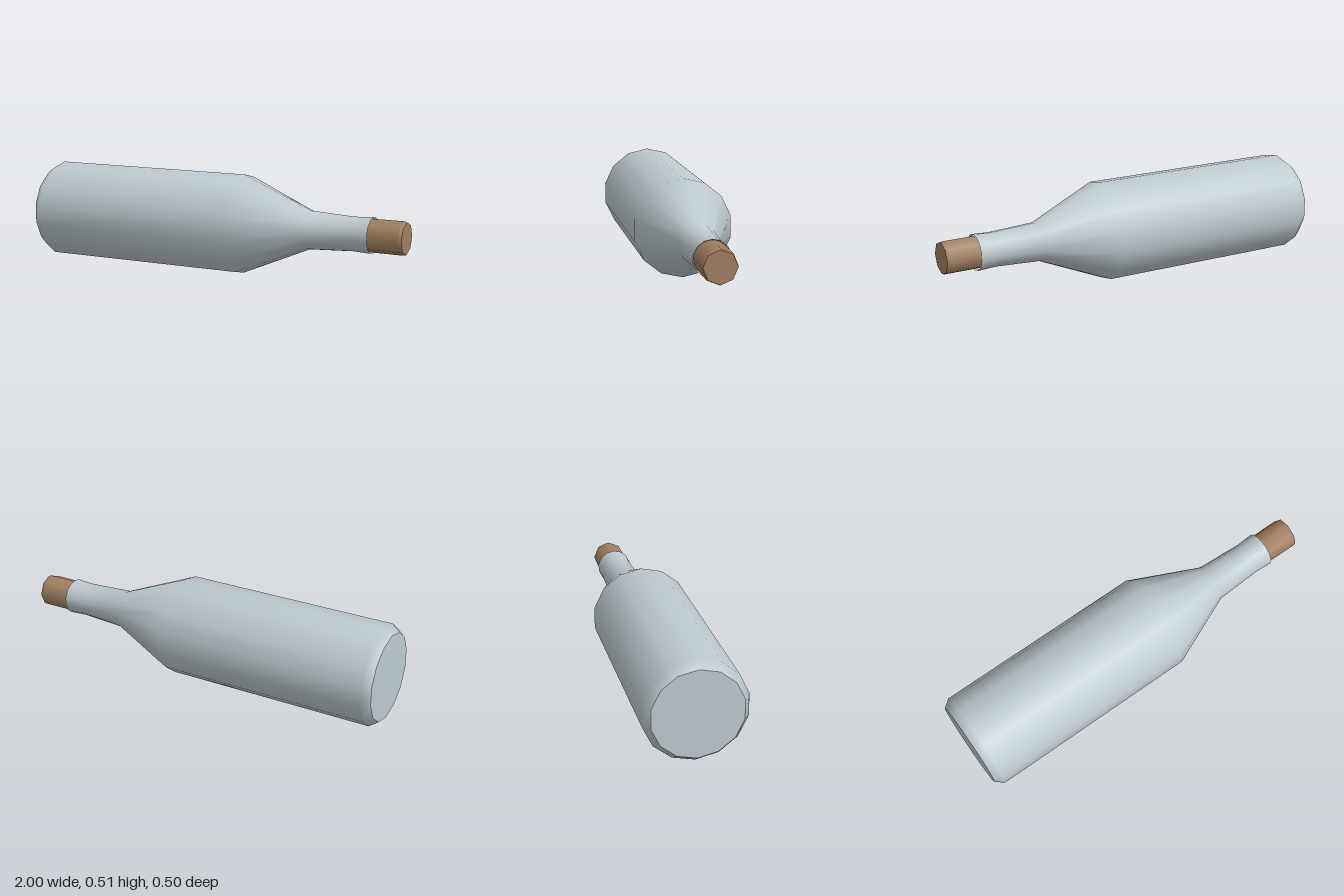
import * as THREE from 'three';

const AXIS_Y = 0.254; // height of the bottle's long axis

export function createModel() {
  const glass = new THREE.MeshStandardMaterial({ color: 0xbecad0 });
  glass.name = 'paleGlass';
  const corkBrown = new THREE.MeshStandardMaterial({ color: 0xa28061 });
  corkBrown.name = 'corkBrown';

  const group = new THREE.Group();
  group.name = 'bottle';

  // Revolve [x along the axis, radius] pairs about the horizontal axis
  function revolve(name, profile, sides, material) {
    const points = profile.map(([x, r]) => new THREE.Vector2(r, x));
    const geometry = new THREE.LatheGeometry(points, sides, Math.PI / 2);
    geometry.rotateZ(-Math.PI / 2);
    geometry.translate(0, AXIS_Y, 0);
    const mesh = new THREE.Mesh(geometry, material);
    mesh.name = name;
    group.add(mesh);
  }

  // Glass: flat base, smooth body with shoulder and neck, inner lip
  revolve('base', [[-1, 0], [-1, 0.222]], 14, glass);
  revolve('body', [
    [-1, 0.222], [-0.957, 0.254], [0.135, 0.254],
    [0.5, 0.098], [0.735, 0.086], [0.83, 0.091],
  ], 14, glass);
  revolve('innerLip', [[0.83, 0.091], [0.815, 0.085]], 14, glass);

  // Cork: octagonal stopper with a slightly bevelled end
  revolve('cork', [[0.76, 0.083], [0.985, 0.084]], 8, corkBrown);
  revolve('corkBevel', [[0.985, 0.084], [1, 0.08]], 8, corkBrown);
  revolve('corkEnd', [[1, 0.08], [1, 0]], 8, corkBrown);

  return group;
}
